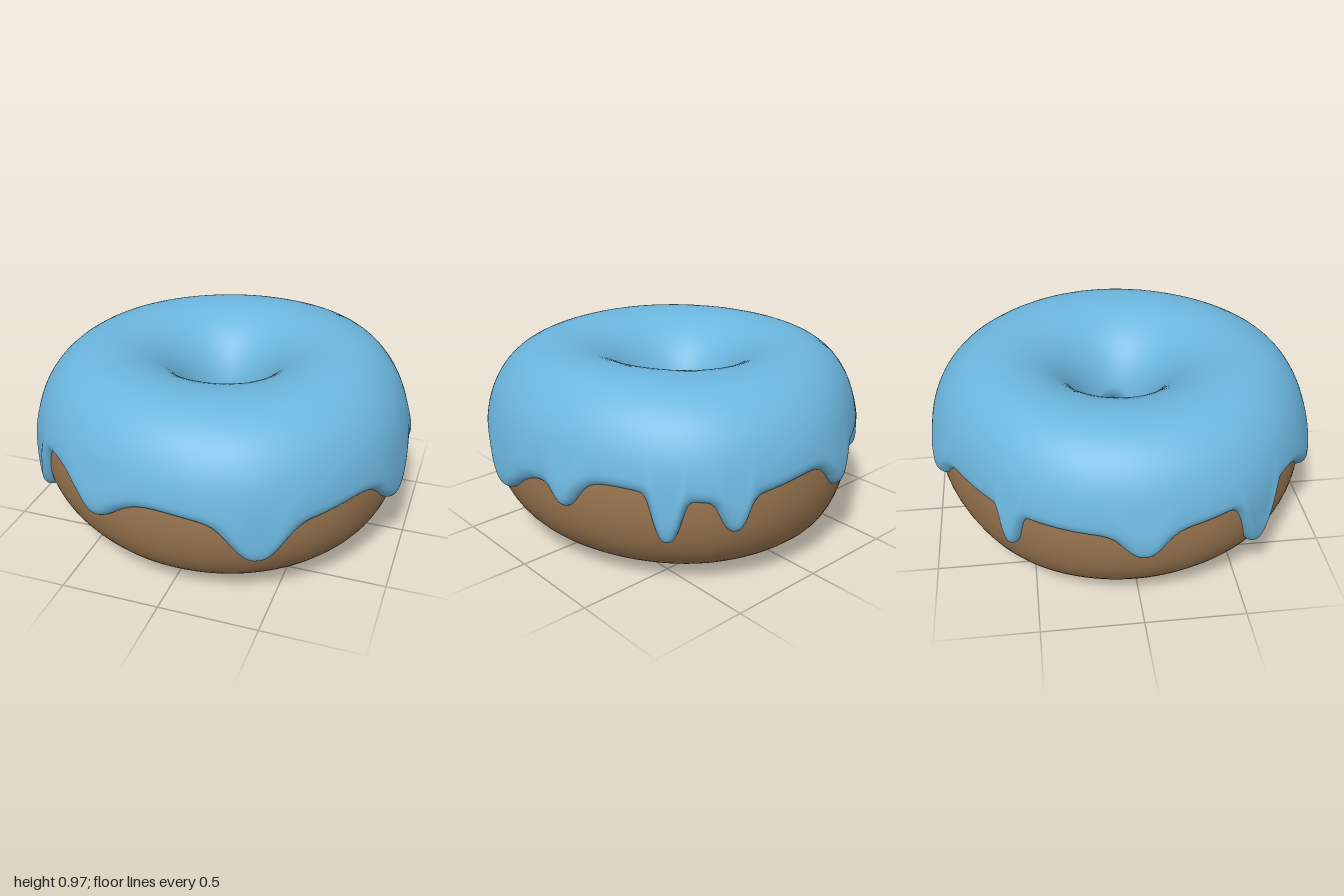
import * as THREE from 'three';

const TAU = Math.PI * 2, DEG = Math.PI / 180;
const CENTRE_R = 0.6, CENTRE_Y = 0.484, SIDE_POWER = 2.15;

// Values every 30 degrees around the ring, counted from the front towards +x
const OUTER = [0.995, 1.02, 1.0, 0.978, 0.98, 1.015, 1.0, 0.955, 0.97, 0.982, 0.995, 0.985];
const TOP = [0.445, 0.442, 0.447, 0.457, 0.46, 0.452, 0.446, 0.446, 0.443, 0.44, 0.442, 0.446];
const BOTTOM = [0.45, 0.45, 0.45, 0.445, 0.45, 0.455, 0.46, 0.484, 0.465, 0.445, 0.42, 0.43];
const EDGE = [0.53, 0.47, 0.51, 0.48, 0.55, 0.5, 0.55, 0.52, 0.51, 0.5, 0.55, 0.56];

// Icing drips: angle, height of the tip, half width in degrees, squareness
const DRIPS = [
  [-54, 0.28, 6.5, 3], [-20, 0.4, 10, 2], [27, 0.3, 8.5, 2.5], [78, 0.34, 10, 2.2], [106, 0.4, 5.5, 2.2],
  [136, 0.3, 4.5, 3.5], [154, 0.35, 4.5, 3], [192, 0.4, 7, 2.2], [230, 0.33, 4, 3.5], [270, 0.38, 7, 2.5],
];

// Smooth closed interpolation of a table
function around(table, a) {
  const n = table.length, u = (((a / TAU) % 1) + 1) % 1 * n;
  const i = Math.floor(u), t = u - i;
  const [p, q, r, s] = [-1, 0, 1, 2].map((k) => table[(i + k + n) % n]);
  return q + 0.5 * t * (r - p + t * (2 * p - 5 * q + 4 * r - s + t * (3 * (q - r) + s - p)));
}

const signedPow = (v, e) => Math.sign(v) * Math.pow(Math.abs(v), e);
// The upper half of the section is rounder than the lower half
const heightPower = (v) => (v > 0 ? 2.08 : 2.25);
const heightAt = (v, a) => around(v > 0 ? TOP : BOTTOM, a);

// Point on the ring: a goes around it, phi around its section (0 outer, PI/2 top, PI inner)
function ringPoint(a, phi, offset) {
  const cos = Math.cos(phi), sin = Math.sin(phi);
  const inner = cos < 0;
  const c = signedPow(cos, inner ? 1 : 2 / SIDE_POWER), s = signedPow(sin, 2 / heightPower(sin));
  const half = (inner ? CENTRE_R - 0.185 : around(OUTER, a) - 0.03 - CENTRE_R) + offset;
  const r = CENTRE_R + half * c;
  // The hole sits slightly off centre
  const shift = Math.max(0, 1 - r / CENTRE_R);
  return [r * Math.sin(a) - 0.015 * shift, CENTRE_Y + (heightAt(s, a) + offset) * s, r * Math.cos(a) - 0.03 * shift];
}

// Section angle of the icing rim and the strength of the drip there
function rim(a) {
  const base = around(EDGE, a);
  let y = base, drip = 0;
  for (const [deg, tip, width, square] of DRIPS) {
    const d = Math.abs(((a / DEG - deg + 540) % 360 + 360) % 360 - 180);
    const f = Math.exp(-Math.pow(d / width, square));
    y -= (base - tip) * f;
    drip = Math.max(drip, f);
  }
  const u = y - CENTRE_Y;
  return { phi: Math.asin(signedPow(u / heightAt(u, a), heightPower(u) / 2)), drip };
}

// Grid surface closed around the ring, optionally closed around the section
function loft(segments, rows, closed, point) {
  const pos = [], index = [];
  for (let i = 0; i < segments; i++) {
    for (let j = 0; j < rows; j++) pos.push(...point(i, j));
  }
  for (let i = 0; i < segments; i++) {
    for (let j = 0; j < (closed ? rows : rows - 1); j++) {
      const i2 = (i + 1) % segments, j2 = (j + 1) % rows;
      const a = i * rows + j, b = i2 * rows + j, c = i2 * rows + j2, d = i * rows + j2;
      index.push(a, b, c, a, c, d);
    }
  }
  const g = new THREE.BufferGeometry();
  g.setAttribute('position', new THREE.Float32BufferAttribute(pos, 3));
  g.setIndex(index);
  g.computeVertexNormals();
  return g;
}

function doughGeometry() {
  const segments = 160, rows = 64;
  return loft(segments, rows, true, (i, j) => ringPoint((i / segments) * TAU, (j / rows) * TAU, 0));
}

function icingGeometry() {
  const segments = 720, rows = 56, lip = 0.12, reach = 8;
  const stepX = (TAU / segments) * 2.3; // step around the ring in units of section angle
  const rims = Array.from({ length: segments }, (_, i) => rim((i / segments) * TAU));

  // Shortest distance from a point of the surface to the rim line
  const rimDistance = (i, phi) => {
    let best = Infinity;
    for (let k = -reach; k < reach; k++) {
      const y0 = rims[(i + k + segments) % segments].phi, y1 = rims[(i + k + 1 + segments) % segments].phi;
      const dy = y1 - y0, px = -k * stepX, py = phi - y0;
      const t = THREE.MathUtils.clamp((px * stepX + py * dy) / (stepX * stepX + dy * dy), 0, 1);
      best = Math.min(best, Math.hypot(px - t * stepX, py - t * dy));
    }
    return best;
  };
  // Quarter circle rising from inside the dough
  const round = (d) => Math.sqrt(Math.max(0, 1 - Math.pow(1 - Math.min(1, d / lip), 2)));

  return loft(segments, rows, false, (i, j) => {
    const a = (i / segments) * TAU, t = j / (rows - 1);
    const { phi: start, drip } = rims[i];
    const end = Math.PI + 0.1 * Math.sin(3 * a);
    const s = t < 0.5 ? 0.25 * Math.pow(t / 0.5, 1.7) : 0.25 + 0.75 * (t - 0.5) / 0.5;
    const phi = start + (end - start) * s;
    const cover = Math.min(round(rimDistance(i, phi)), round(end - phi));
    const bulge = 0.02 * drip * Math.exp(-Math.pow((phi - start - 0.12) / 0.2, 2));
    return ringPoint(a, phi, -0.012 + (0.04 + bulge) * cover);
  });
}

export function createModel() {
  const group = new THREE.Group();
  group.name = 'doughnut';
  const doughBrown = new THREE.MeshStandardMaterial({ color: 0x9a7650 });
  doughBrown.name = 'dough brown';
  const icingBlue = new THREE.MeshStandardMaterial({ color: 0x6cb6de });
  icingBlue.name = 'icing blue';
  icingBlue.side = THREE.DoubleSide;

  const dough = new THREE.Mesh(doughGeometry(), doughBrown);
  dough.name = 'dough';
  const icing = new THREE.Mesh(icingGeometry(), icingBlue);
  icing.name = 'icing';
  group.add(dough, icing);
  return group;
}
